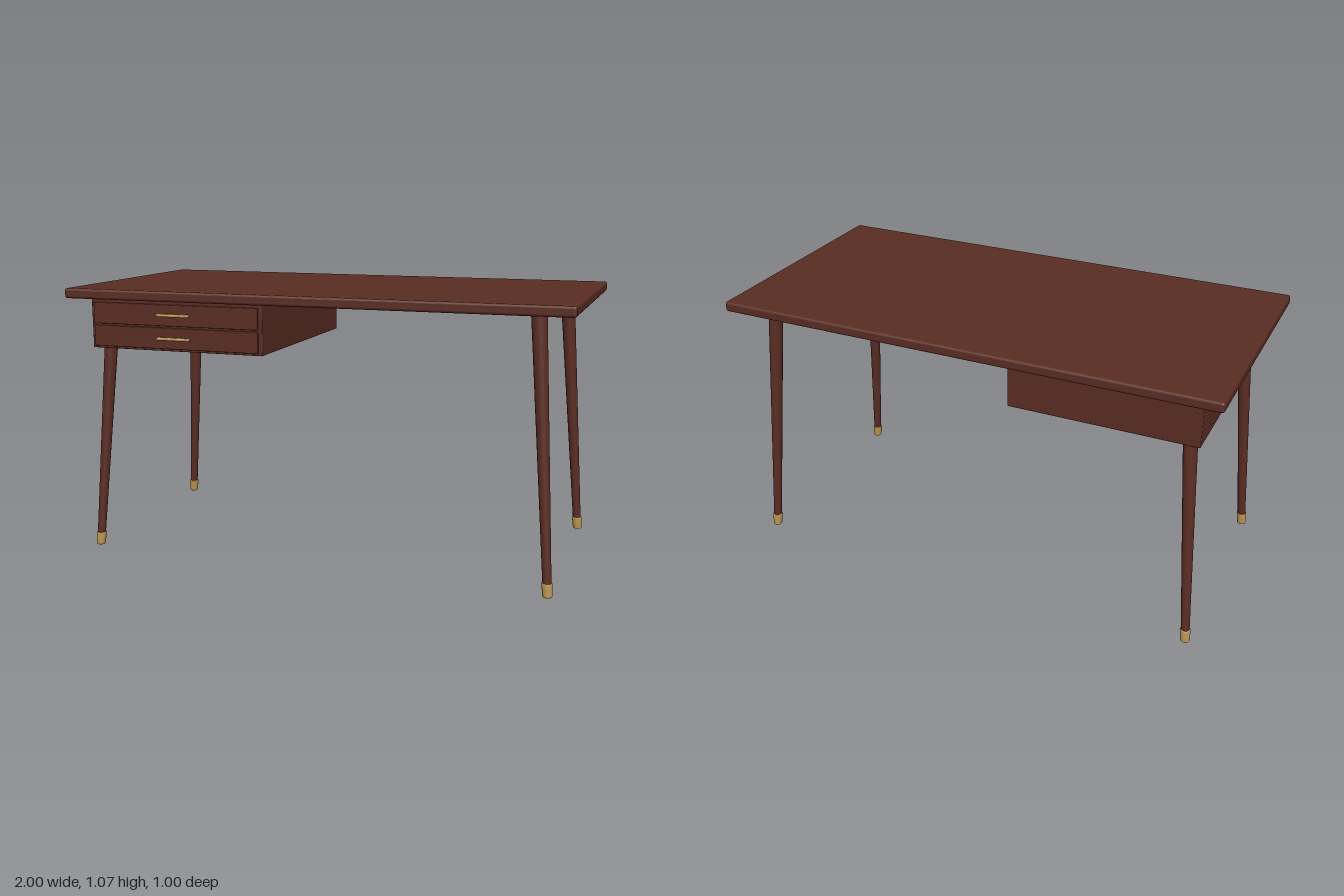
import * as THREE from 'three';
import { RoundedBoxGeometry } from 'three/addons/geometries/RoundedBoxGeometry.js';

const wood = new THREE.MeshStandardMaterial({ color: 0x5a2d23 });
wood.name = 'walnut';
const brass = new THREE.MeshStandardMaterial({ color: 0xbd9854 });
brass.name = 'brass';

function add(parent, name, geometry, material, x = 0, y = 0, z = 0) {
  const mesh = new THREE.Mesh(geometry, material);
  mesh.name = name;
  mesh.position.set(x, y, z);
  parent.add(mesh);
  return mesh;
}

// Rounded box given by its lower and upper bounds
function box(parent, name, material, [x0, x1], [y0, y1], [z0, z1], radius, segments = 2) {
  const geometry = new RoundedBoxGeometry(x1 - x0, y1 - y0, z1 - z0, segments, radius);
  return add(parent, name, geometry, material, (x0 + x1) / 2, (y0 + y1) / 2, (z0 + z1) / 2);
}

// Splayed leg: slanted sideways while its cut ends stay level with the floor
function makeLeg(sx, sz) {
  const leg = new THREE.Group();
  leg.name = (sz > 0 ? 'front' : 'back') + (sx > 0 ? 'Left' : 'Right') + 'Leg';
  const slant = new THREE.Matrix4().set(
    1, -0.074 * sx, 0, 0,
    0, 1, 0, 0,
    0, -0.057 * sz, 1, 0,
    0, 0, 0, 1);
  const shaft = new THREE.CylinderGeometry(0.029, 0.0165, 0.99, 32).translate(0, 0.54, 0);
  add(leg, 'legShaft', shaft.applyMatrix4(slant), wood);

  const profile = [[0, 0], [0.0165, 0], [0.018, 0.002], [0.0205, 0.048], [0.0195, 0.052], [0.015, 0.052]];
  const ferrule = new THREE.LatheGeometry(profile.map(([r, y]) => new THREE.Vector2(r, y)), 32);
  add(leg, 'legFerrule', ferrule.applyMatrix4(slant), brass);
  leg.position.set(0.93 * sx, 0, 0.43 * sz);
  return leg;
}

// Drawer front with a bar pull on two short posts
function makeDrawer(name, y0, y1, pullY) {
  const drawer = new THREE.Group();
  drawer.name = name;
  box(drawer, 'drawerFront', wood, [-0.9, -0.193], [y0, y1], [0.43, 0.451], 0.003);
  box(drawer, 'pullBar', brass, [-0.615, -0.475], [pullY - 0.006, pullY + 0.006], [0.454, 0.474], 0.0055, 3);
  for (const x of [-0.59, -0.5]) {
    const post = new THREE.CylinderGeometry(0.004, 0.004, 0.02, 16).rotateX(Math.PI / 2);
    add(drawer, 'pullPost', post, brass, x, pullY, 0.454);
  }
  return drawer;
}

export function createModel() {
  const desk = new THREE.Group();
  desk.name = 'desk';

  // Table top
  box(desk, 'tableTop', wood, [-1, 1], [1.031, 1.071], [-0.5, 0.5], 0.01, 4);

  // Drawer cabinet under the right-hand end
  box(desk, 'drawerCabinet', wood, [-0.912, -0.178], [0.832, 1.032], [-0.412, 0.444], 0.004);
  desk.add(makeDrawer('lowerDrawer', 0.841, 0.924, 0.883));
  desk.add(makeDrawer('upperDrawer', 0.931, 1.015, 0.975));

  // Four legs
  for (const sx of [-1, 1]) for (const sz of [-1, 1]) desk.add(makeLeg(sx, sz));

  return desk;
}
